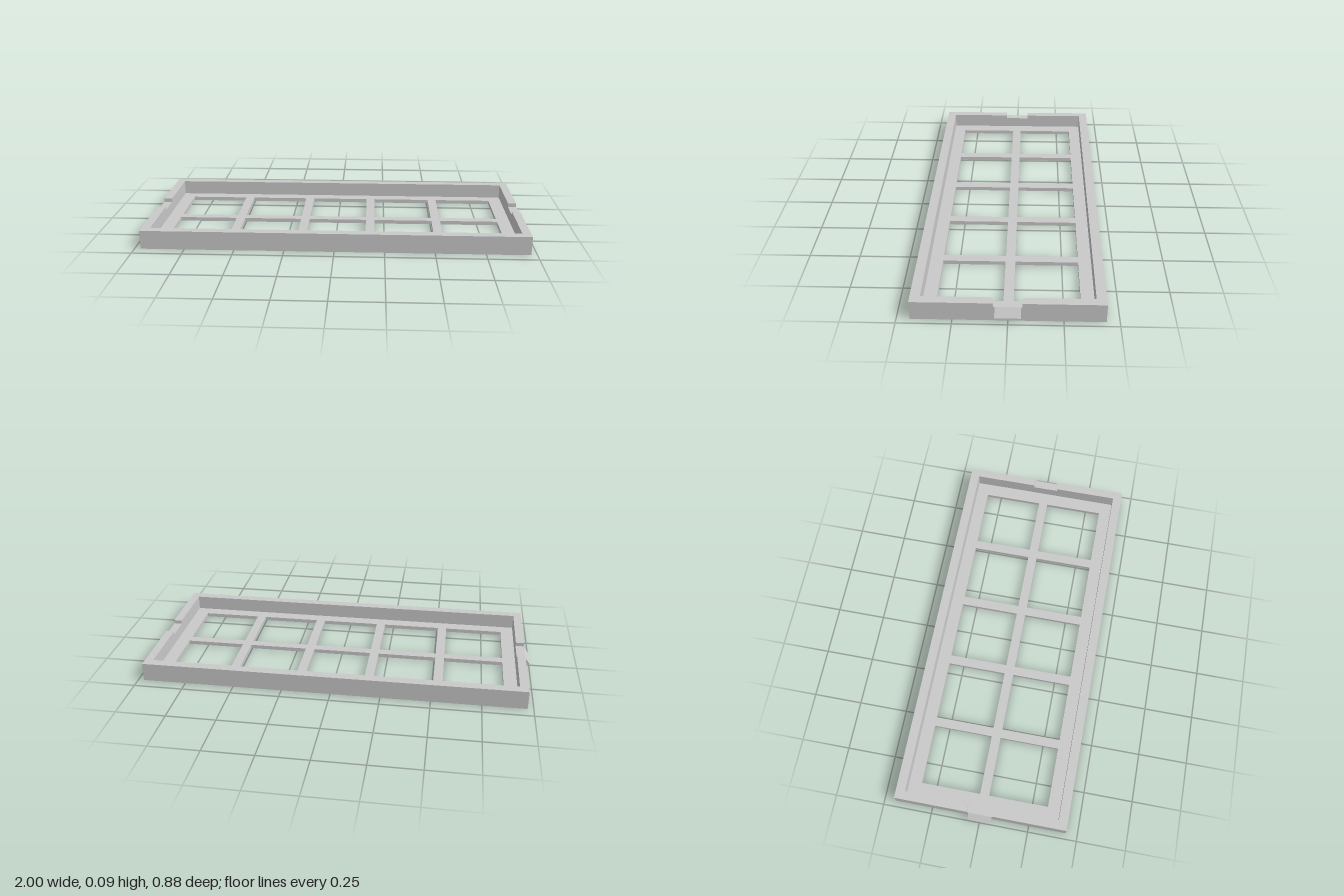
import * as THREE from 'three';

export function createModel() {
  const model = new THREE.Group();
  model.name = 'gridTray';
  const grey = new THREE.MeshStandardMaterial({ color: 0xc9c9c9 });
  grey.name = 'plain grey';

  const X = 0.97, Z = 0.44;        // outer half sizes
  const wallX = 0.043, wallZ = 0.047;
  const floorY = 0.02, topY = 0.095, notchY = 0.076;

  const add = (name, geometry) => {
    const mesh = new THREE.Mesh(geometry, grey);
    mesh.name = name;
    model.add(mesh);
    return mesh;
  };
  const polygon = (points) => new THREE.Shape(points.map(([x, y]) => new THREE.Vector2(x, y)));
  const rect = (x0, y0, x1, y1) => [[x0, y0], [x1, y0], [x1, y1], [x0, y1]];
  const extrude = (shape, depth) => new THREE.ExtrudeGeometry(shape, { depth, bevelEnabled: false });

  // Floor plate with two rows of five square openings
  const floor = polygon(rect(-X, -Z, X, Z));
  const h = 0.153, pitch = 0.353;
  for (let i = -2; i <= 2; i++) {
    for (const z of [-0.1765, 0.1765]) {
      const x = i * pitch;
      floor.holes.push(polygon(rect(x - h, z - h, x + h, z + h)));
    }
  }
  add('gridFloor', extrude(floor, floorY).rotateX(-Math.PI / 2));

  // Long walls, front and back
  for (const [name, side] of [['frontWall', 1], ['backWall', -1]]) {
    add(name, new THREE.BoxGeometry(2 * X, topY - floorY, wallZ))
      .position.set(0, (topY + floorY) / 2, side * (Z - wallZ / 2));
  }

  // End walls with a shallow notch, each carrying a wedge clip outside
  const zi = Z - wallZ, notch = 0.066, clipW = 0.118;
  for (const [name, side] of [['left', 1], ['right', -1]]) {
    const wall = polygon([
      [-zi, floorY], [zi, floorY], [zi, topY], [notch, topY],
      [notch, notchY], [-notch, notchY], [-notch, topY], [-zi, topY],
    ]);
    add(name + 'EndWall', extrude(wall, wallX)
      .translate(0, 0, X - wallX).rotateY(side * Math.PI / 2));

    const wedge = polygon([[X, 0.036], [1, 0.036], [X, notchY]]);
    add(name + 'Clip', extrude(wedge, clipW)
      .translate(0, 0, -clipW / 2).rotateY(side > 0 ? 0 : Math.PI));
  }

  return model;
}
